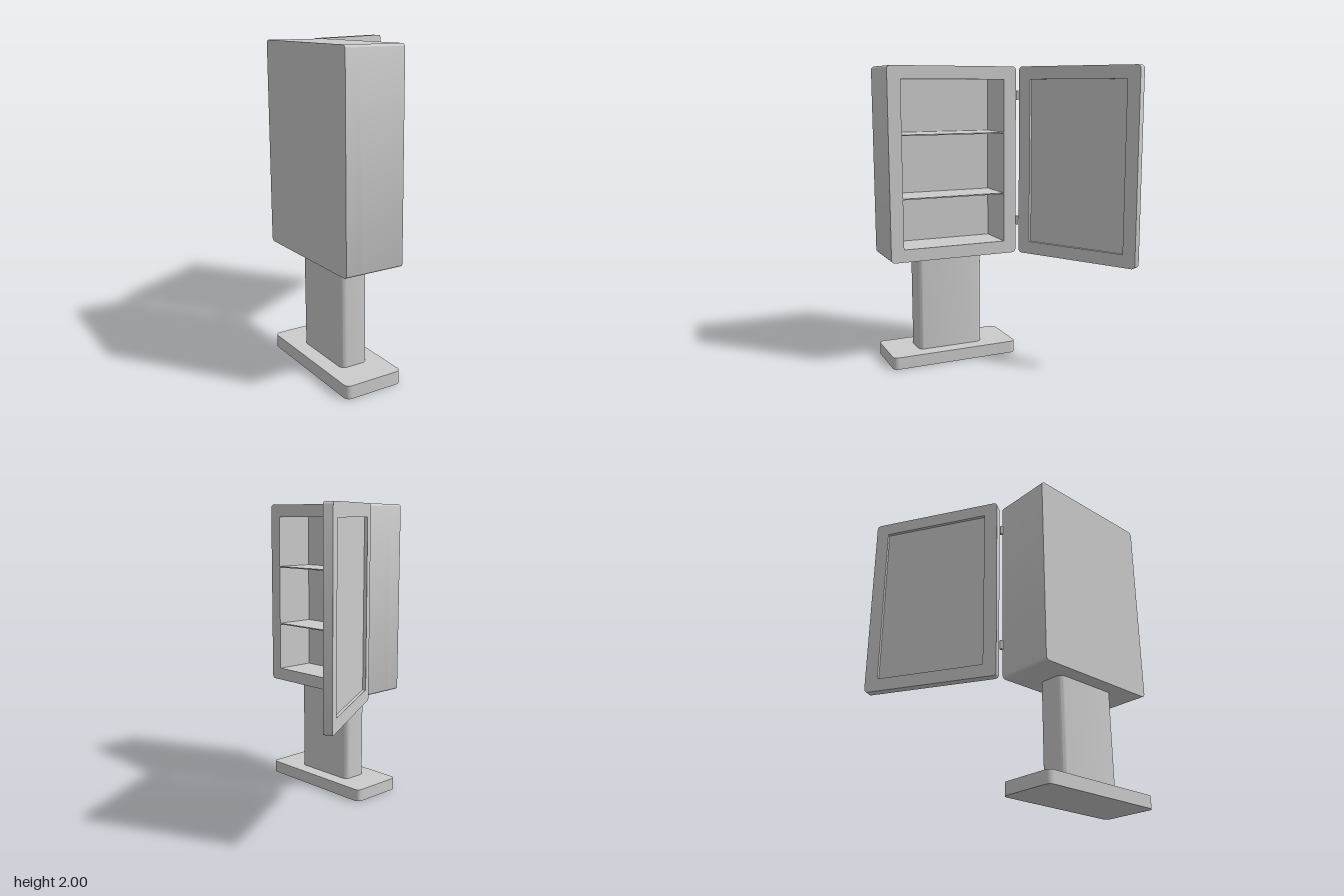
import * as THREE from 'three';
import { toCreasedNormals } from 'three/addons/utils/BufferGeometryUtils.js';

const material = new THREE.MeshStandardMaterial({ color: 0xcccccc });

// Rounded rectangle centred on the origin
function roundedRect(w, h, r, Type = THREE.Shape) {
  const s = new Type();
  const x = w / 2, y = h / 2;
  s.moveTo(-x + r, -y);
  s.lineTo(x - r, -y);
  s.absarc(x - r, -y + r, r, -Math.PI / 2, 0);
  s.lineTo(x, y - r);
  s.absarc(x - r, y - r, r, 0, Math.PI / 2);
  s.lineTo(-x + r, y);
  s.absarc(-x + r, y - r, r, Math.PI / 2, Math.PI);
  s.lineTo(-x, -y + r);
  s.absarc(-x + r, -y + r, r, Math.PI, Math.PI * 1.5);
  return s;
}

function rectHole(w, h) {
  const x = w / 2, y = h / 2;
  return new THREE.Path([[-x, -y], [-x, y], [x, y], [x, -y]].map(p => new THREE.Vector2(...p)));
}

// Extrusion along +z, with smooth rounded corners and sharp edges
function slab(w, h, r, depth, hole) {
  const shape = roundedRect(w, h, r);
  if (hole) shape.holes.push(rectHole(...hole));
  const g = new THREE.ExtrudeGeometry(shape, { depth, bevelEnabled: false, curveSegments: 8 });
  return toCreasedNormals(g, 0.6);
}

function add(parent, name, geometry, x, y, z) {
  const mesh = new THREE.Mesh(geometry, material);
  mesh.name = name;
  mesh.position.set(x, y, z);
  parent.add(mesh);
  return mesh;
}

export function createModel() {
  const model = new THREE.Group();
  model.name = 'cabinetOnPedestal';
  const cx = -0.392, cz = 0.255;
  const bodyH = 1.27, bodyW = 0.89, bodyY = 2 - bodyH / 2;
  const opening = [0.715, 1.1];

  // Pedestal: foot plate and post, extruded upwards
  add(model, 'foot', slab(0.382, bodyW, 0.035, 0.082).rotateX(-Math.PI / 2), cx, 0, cz);
  add(model, 'post', slab(0.185, 0.463, 0.04, 0.66).rotateX(-Math.PI / 2), cx, 0.08, cz + 0.002);

  // Cabinet: solid back and open shell, extruded towards +x
  const cabinet = new THREE.Group();
  cabinet.name = 'cabinet';
  model.add(cabinet);
  add(cabinet, 'cabinetBack', slab(bodyW, bodyH, 0.025, 0.098).rotateY(Math.PI / 2), -0.583, bodyY, cz);
  add(cabinet, 'cabinetShell', slab(bodyW, bodyH, 0.025, 0.284, opening).rotateY(Math.PI / 2), -0.485, bodyY, cz);
  for (const y of [1.147, 1.56]) {
    add(cabinet, 'shelf', new THREE.BoxGeometry(0.282, 0.008, opening[0]), -0.343, y, cz);
  }

  // Door: frame with a thin panel set in its middle, swung open on the hinge side
  const door = new THREE.Group();
  door.name = 'door';
  door.position.set(-0.19, bodyY, -0.209);
  door.rotation.y = Math.PI / 6;
  model.add(door);
  add(door, 'doorFrame', slab(bodyW, bodyH, 0.025, 0.055, opening), bodyW / 2, 0, -0.055);
  add(door, 'doorPanel', new THREE.BoxGeometry(opening[0], opening[1], 0.015), bodyW / 2, 0, -0.0275);

  // Hinge pins
  for (const y of [0.957, 1.81]) {
    add(model, 'hinge', new THREE.CylinderGeometry(0.01, 0.01, 0.06, 16), -0.2, y, -0.2);
  }
  return model;
}
